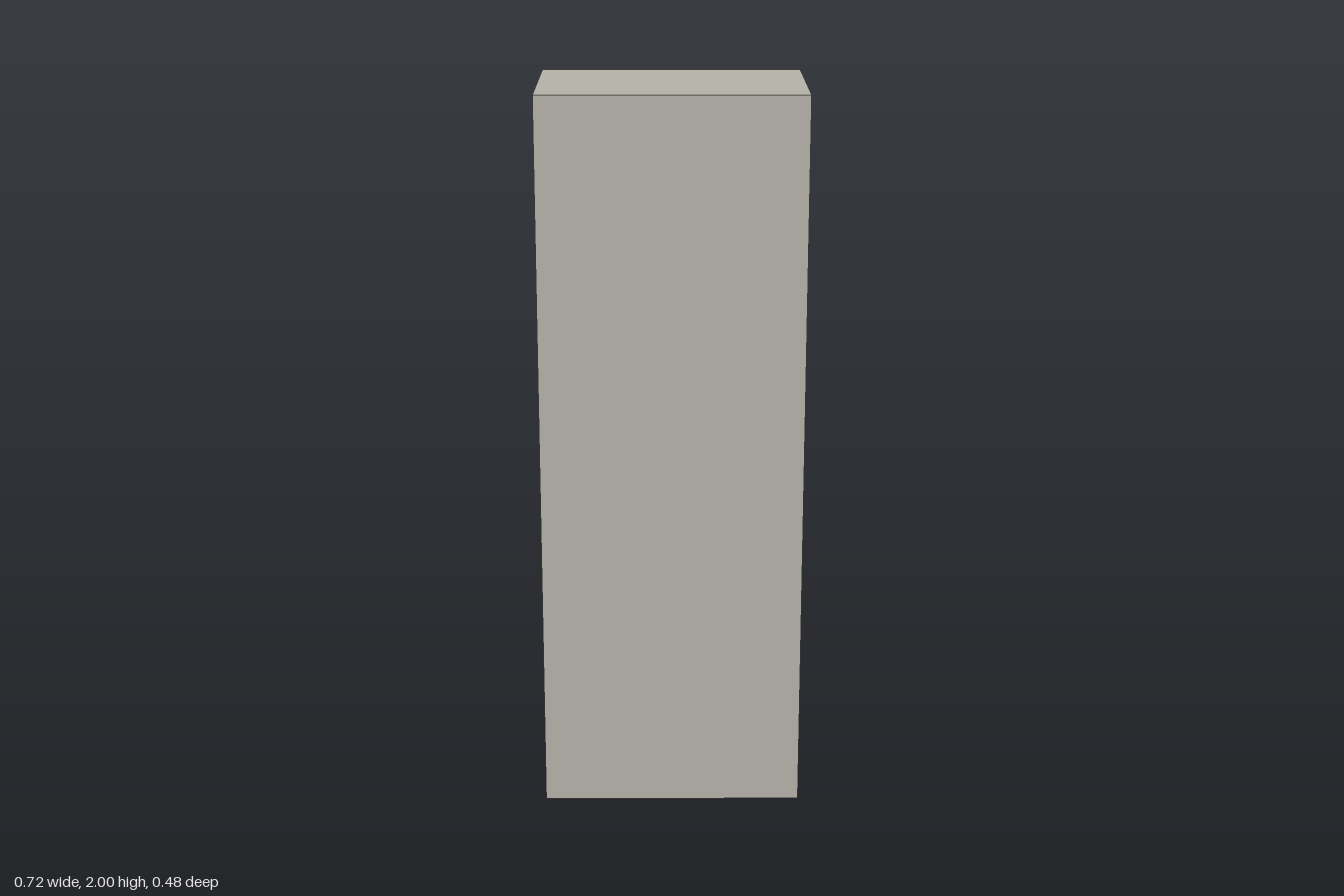
import * as THREE from 'three';

export function createModel() {
  const model = new THREE.Group();
  model.name = 'wardrobe';
  const board = new THREE.MeshStandardMaterial({ color: 0xb4b1a9 });
  board.name = 'greyBoard';

  // Board given by its lower and upper limits on each axis
  function panel(name, x0, x1, y0, y1, z0, z1, parent = model) {
    const mesh = new THREE.Mesh(new THREE.BoxGeometry(x1 - x0, y1 - y0, z1 - z0), board);
    mesh.position.set((x0 + x1) / 2, (y0 + y1) / 2, (z0 + z1) / 2);
    mesh.name = name;
    parent.add(mesh);
    return mesh;
  }

  const T = 0.016; // board thickness
  const X = 0.358, Z = 0.24, H = 2;
  const inX = X - T; // inner face of the sides
  const inZ = Z - 0.012; // inner face of the closing panel
  const plinthTop = 0.087;
  const divL = -0.066, divR = divL - T; // faces of the divider
  const upperTop = 1.729;

  // Carcass
  panel('plinth', -X, X, 0, plinthTop, -Z, Z);
  panel('topPanel', -X, X, H - T, H, -Z, Z);
  panel('closingPanel', -X, X, plinthTop, H - T, inZ, Z);
  for (const [name, x0] of [['leftSide', inX], ['rightSide', -X]]) {
    panel(name, x0, x0 + T, plinthTop, H - T, -Z, inZ);
  }
  panel('upperShelf', -inX, inX, upperTop - T, upperTop, -Z, inZ);
  panel('divider', divR, divL, plinthTop, upperTop - T, -Z, inZ);

  // Raised floors of the two compartments
  panel('wideFloor', divL, inX, 0.124, 0.14, -Z, inZ);
  panel('narrowFloor', -inX, divR, 0.124, 0.14, -Z, inZ);

  // Shelves of the narrow compartment
  for (let i = 0; i < 4; i++) {
    const y = 0.69 + i * 0.267;
    panel('shelf', -inX, divR, y - T / 2, y + T / 2, -Z, inZ);
  }

  // Hanging rod
  const rod = new THREE.Mesh(new THREE.CylinderGeometry(0.009, 0.009, inX - divL, 20), board);
  rod.rotation.z = Math.PI / 2;
  rod.position.set((inX + divL) / 2, 1.555, -0.037);
  rod.name = 'hangingRod';
  model.add(rod);

  // Two drawers: front board, bottom and far board
  for (let i = 0; i < 2; i++) {
    const drawer = new THREE.Group();
    drawer.name = 'drawer';
    drawer.position.y = 0.432 + i * 0.214;
    panel('drawerFront', divL, inX, 0, 0.206, -0.209, -0.193, drawer);
    panel('drawerBottom', divL, inX, 0.03, 0.046, -0.193, 0.07, drawer);
    panel('drawerBack', divL, inX, 0.046, 0.178, 0.058, 0.07, drawer);
    model.add(drawer);
  }

  return model;
}
